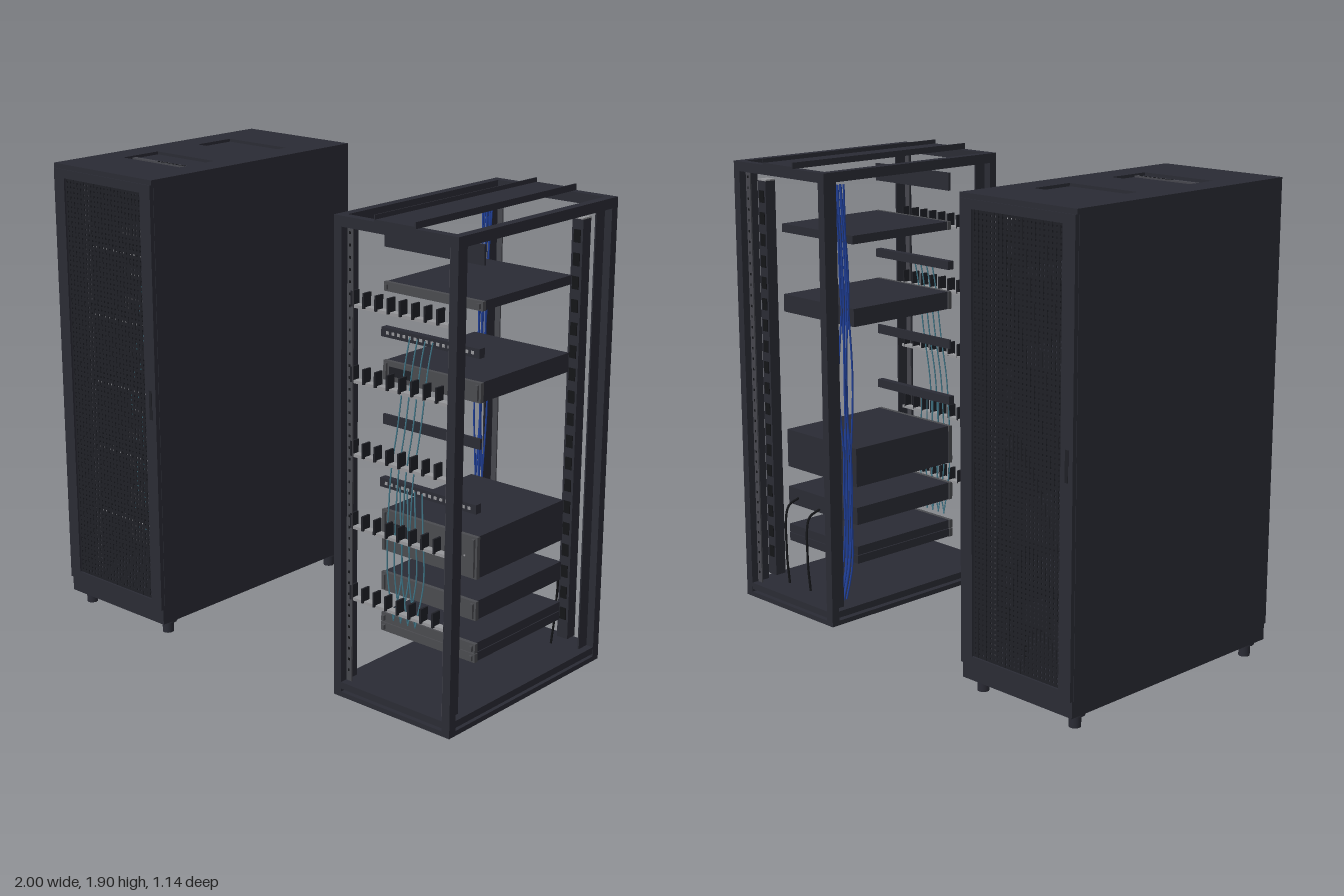
import * as THREE from 'three';

const mat = (name, hex) => {
  const m = new THREE.MeshStandardMaterial({ color: hex });
  m.name = name;
  return m;
};
const M = {
  frame: mat('charcoal frame', 0x2a2b34),
  mesh: mat('black mesh', 0x1f2026),
  rail: mat('gunmetal rail', 0x45464d),
  face: mat('grey faceplate', 0x4a4b4f),
  steel: mat('light steel', 0x96979a),
  black: mat('black rubber', 0x141518),
  teal: mat('teal cable', 0x42788a),
  blue: mat('blue cable', 0x20409a),
};

// Box given by its min and max on each axis
function box(g, name, m, x0, x1, y0, y1, z0, z1) {
  const b = new THREE.Mesh(new THREE.BoxGeometry(x1 - x0, y1 - y0, z1 - z0), m);
  b.position.set((x0 + x1) / 2, (y0 + y1) / 2, (z0 + z1) / 2);
  b.name = name;
  g.add(b);
  return b;
}

function cable(g, name, m, pts, r = 0.003) {
  const curve = new THREE.CatmullRomCurve3(pts.map(p => new THREE.Vector3(...p)));
  const c = new THREE.Mesh(new THREE.TubeGeometry(curve, 28, r, 6), m);
  c.name = name;
  g.add(c);
}

// Rails, devices and cabling shared by both racks, centred on x = 0
function createContents() {
  const g = new THREE.Group();
  g.name = 'rackContents';

  // L-shaped mounting rails with punched marks
  for (const s of [-1, 1]) for (const f of [-1, 1]) {
    const a = 0.222 * s, b = 0.25 * s;
    const z0 = f > 0 ? 0.385 : -0.44, z1 = z0 + 0.055;
    const zf = f > 0 ? z1 : z0;
    box(g, 'railFlange', M.rail, Math.min(a, b), Math.max(a, b), 0.06, 1.84, zf - 0.003, zf + 0.003);
    box(g, 'railWeb', M.frame, b - 0.003, b + 0.003, 0.06, 1.84, z0, z1);
    for (let y = 0.1; y < 1.82; y += 0.045)
      box(g, 'railHole', M.black, s * 0.236 - 0.004, s * 0.236 + 0.004, y, y + 0.01, zf + f * 0.003 - 0.001, zf + f * 0.003 + 0.001);
  }

  // Devices: body with a wider faceplate
  for (const [y0, y1] of [[1.57, 1.605], [1.23, 1.305], [0.55, 0.715], [0.385, 0.46], [0.253, 0.29], [0.215, 0.25]]) {
    box(g, 'deviceBody', M.frame, -0.225, 0.225, y0, y1, -0.28, 0.245);
    box(g, 'deviceFace', M.face, -0.23, 0.23, y0, y1, 0.245, 0.262);
    for (const s of [-1, 1])
      box(g, 'deviceHandle', M.face, s * 0.215 - 0.006, s * 0.215 + 0.006, y0 + 0.008, y1 - 0.008, 0.262, 0.272);
  }
  box(g, 'serverDisplay', M.mesh, -0.205, -0.09, 0.6, 0.67, 0.262, 0.265);
  box(g, 'serverLight', M.steel, 0.17, 0.176, 0.63, 0.636, 0.262, 0.265);
  box(g, 'switchDisplay', M.mesh, -0.2, -0.09, 1.25, 1.285, 0.262, 0.265);

  // Blank panels
  box(g, 'topBlankPanel', M.frame, -0.23, 0.23, 1.735, 1.81, 0.25, 0.26);
  box(g, 'middleBlankPanel', M.frame, -0.23, 0.23, 1.055, 1.095, 0.25, 0.26);

  // Patch panels with rows of ports
  for (const y of [1.417, 0.828]) {
    box(g, 'patchPanel', M.frame, -0.23, 0.23, y - 0.018, y + 0.018, 0.245, 0.275);
    for (let i = 0; i < 16; i++)
      box(g, 'patchPort', M.steel, -0.205 + i * 0.0265, -0.192 + i * 0.0265, y - 0.006, y + 0.006, 0.275, 0.277);
  }

  // Cable managers: light bar carrying upright fingers
  for (const y of [1.545, 1.26, 0.975, 0.69, 0.4]) {
    box(g, 'cableManagerBar', M.steel, -0.245, 0.245, y - 0.006, y + 0.006, 0.405, 0.435);
    for (let i = 0; i < 9; i++) {
      const x = -0.228 + i * 0.057;
      box(g, 'cableFinger', M.mesh, x - 0.004, x + 0.004, y, y + 0.058, 0.405, 0.445);
    }
  }

  // Teal patch cords
  for (let i = 0; i < 4; i++) {
    const x = -0.1 + i * 0.036;
    cable(g, 'upperPatchCord', M.teal, [[x + 0.01, 1.42, 0.277], [x, 1.33, 0.288], [x - 0.02, 1.08, 0.305], [x - 0.04, 0.9, 0.317], [x - 0.045, 0.7, 0.327]]);
    cable(g, 'lowerPatchCord', M.teal, [[x - 0.045, 0.7, 0.327], [x - 0.05, 0.5, 0.322], [x - 0.04, 0.36, 0.31], [x - 0.04, 0.29, 0.295]]);
    cable(g, 'shortPatchCord', M.teal, [[x - 0.03, 0.83, 0.277], [x - 0.015, 0.68, 0.288], [x - 0.01, 0.48, 0.285], [x - 0.035, 0.3, 0.3]]);
  }

  // Blue vertical bundle at the rear
  for (let i = 0; i < 6; i++) {
    const x = -0.235 + (i % 2) * 0.014, z = -0.325 - i * 0.008, w = 0.012 * (i % 3 - 1);
    cable(g, 'blueBundle', M.blue, [[x, 0.08, z - 0.03], [x, 0.22, z + 0.005], [x + 0.006, 0.6, z + 0.02 + w],
      [x, 1.0, z + 0.012 - w], [x + 0.006, 1.4, z + 0.02 + w], [x, 1.82, z - 0.005]], 0.004);
  }

  // Black power leads dropping from the rear of the lower devices
  for (const [x, y] of [[-0.12, 0.37], [0.02, 0.4], [0.16, 0.42]])
    cable(g, 'powerLead', M.black, [[x, y, -0.28], [x + 0.01, y - 0.03, -0.33], [x - 0.01, 0.2, -0.36], [x - 0.025, 0.06, -0.36]], 0.005);

  // Vertical power strip with outlets and a light end cap
  box(g, 'powerStrip', M.frame, 0.163, 0.213, 0.1, 1.8, -0.41, -0.36);
  box(g, 'powerStripCap', M.steel, 0.163, 0.213, 1.8, 1.806, -0.41, -0.36);
  for (let y = 0.18; y < 1.75; y += 0.09) {
    box(g, 'outlet', M.black, 0.173, 0.203, y, y + 0.05, -0.413, -0.41);
    box(g, 'outlet', M.black, 0.173, 0.203, y, y + 0.05, -0.36, -0.357);
  }
  return g;
}

function createOpenRack() {
  const g = new THREE.Group();
  g.name = 'openRack';
  const X = 0.285, Z = 0.475, t = 0.036, H = 1.88;
  for (const s of [-1, 1]) {
    const x0 = s > 0 ? X - t : -X, z0 = s > 0 ? Z - t : -Z;
    for (const f of [-1, 1]) {
      const pz = f > 0 ? Z - t : -Z;
      box(g, 'cornerPost', M.frame, x0, x0 + t, 0, H, pz, pz + t);
    }
    box(g, 'topSideBeam', M.frame, x0, x0 + t, H - 0.04, H, -Z + t, Z - t);
    box(g, 'topCrossBeam', M.frame, -X + t, X - t, H - 0.04, H, z0, z0 + t);
  }
  // Base plate and raised floor with a narrow gap
  box(g, 'basePlate', M.frame, -X, X, 0, 0.02, -Z, Z);
  box(g, 'floorPanel', M.frame, -X + 0.001, X - 0.001, 0.032, 0.06, -Z + 0.001, Z - 0.001);
  // Overhead cable tray
  box(g, 'cableTray', M.frame, -0.095, 0.095, H, H + 0.008, -Z, Z);
  for (const s of [-1, 1]) {
    box(g, 'trayLip', M.frame, s * 0.0925 - 0.0025, s * 0.0925 + 0.0025, H, H + 0.025, -Z, Z);
  }
  g.add(createContents());
  return g;
}

// Perforated door: solid border around a lattice
function createDoor(name) {
  const g = new THREE.Group();
  g.name = name;
  const shape = new THREE.Shape();
  const rect = (p, x, y0, y1) => p.moveTo(-x, y0).lineTo(x, y0).lineTo(x, y1).lineTo(-x, y1).closePath();
  rect(shape, 0.281, 0.125, 1.885);
  const hole = new THREE.Path();
  rect(hole, 0.222, 0.16, 1.85);
  shape.holes.push(hole);
  const border = new THREE.Mesh(new THREE.ExtrudeGeometry(shape, { depth: 0.018, bevelEnabled: false }), M.frame);
  border.name = 'doorBorder';
  g.add(border);
  for (let i = 0; i <= 22; i++) {
    const x = -0.22 + i * 0.02;
    box(g, 'meshUpright', M.mesh, x - 0.006, x + 0.006, 0.16, 1.85, 0.006, 0.01);
  }
  for (let i = 0; i <= 84; i++) {
    const y = 0.165 + i * 0.02;
    box(g, 'meshCrossbar', M.mesh, -0.222, 0.222, y - 0.006, y + 0.006, 0.0055, 0.0095);
  }
  box(g, 'doorHandle', M.mesh, 0.245, 0.26, 0.94, 1.06, 0.018, 0.02);
  return g;
}

function createCabinet() {
  const g = new THREE.Group();
  g.name = 'closedCabinet';
  for (const s of [-1, 1]) {
    const x = s * 0.278;
    box(g, 'sidePanel', M.frame, x - 0.005, x + 0.005, 0.125, 1.885, -0.552, 0.552);
  }
  const front = createDoor('frontDoor');
  front.position.z = 0.552;
  const back = createDoor('rearDoor');
  back.rotation.y = Math.PI;
  back.position.z = -0.552;
  g.add(front, back);

  // Plinth and feet
  box(g, 'plinth', M.frame, -0.281, 0.281, 0.06, 0.125, -0.56, 0.56);
  for (const sx of [-1, 1]) for (const sz of [-1, 1]) {
    const foot = new THREE.Mesh(new THREE.CylinderGeometry(0.023, 0.023, 0.05, 16), M.frame);
    foot.name = 'foot';
    foot.position.set(sx * 0.237, 0.025, sz * 0.495);
    const pad = new THREE.Mesh(new THREE.CylinderGeometry(0.038, 0.038, 0.014, 16), M.frame);
    pad.name = 'footMount';
    pad.position.set(sx * 0.237, 0.055, sz * 0.495);
    g.add(foot, pad);
  }

  // Roof with two shallow recesses; shape y maps to -z
  const roof = new THREE.Shape();
  roof.moveTo(-0.285, -0.565).lineTo(0.285, -0.565).lineTo(0.285, 0.565).lineTo(-0.285, 0.565).closePath();
  for (const [z0, z1] of [[0.11, 0.3], [-0.31, -0.12]]) {
    const p = new THREE.Path();
    p.moveTo(-0.165, -z0).lineTo(0.165, -z0).lineTo(0.165, -z1).lineTo(-0.165, -z1).closePath();
    roof.holes.push(p);
  }
  const geo = new THREE.ExtrudeGeometry(roof, { depth: 0.02, bevelEnabled: false });
  geo.rotateX(-Math.PI / 2);
  const top = new THREE.Mesh(geo, M.frame);
  top.name = 'roof';
  top.position.y = 1.885;
  g.add(top);
  box(g, 'recessFloor', M.frame, -0.275, 0.275, 1.875, 1.893, -0.55, 0.55);
  box(g, 'cableEntryStrip', M.rail, -0.16, 0.16, 1.893, 1.899, 0.235, 0.255);
  for (let i = 0; i < 8; i++)
    box(g, 'entrySlot', M.black, -0.02 + i * 0.021, -0.008 + i * 0.021, 1.899, 1.9, 0.24, 0.25);

  g.add(createContents());
  return g;
}

export function createModel() {
  const model = new THREE.Group();
  model.name = 'serverRacks';
  const cabinet = createCabinet(), open = createOpenRack();
  cabinet.position.x = -0.715;
  open.position.x = 0.715;
  model.add(cabinet, open);
  return model;
}
